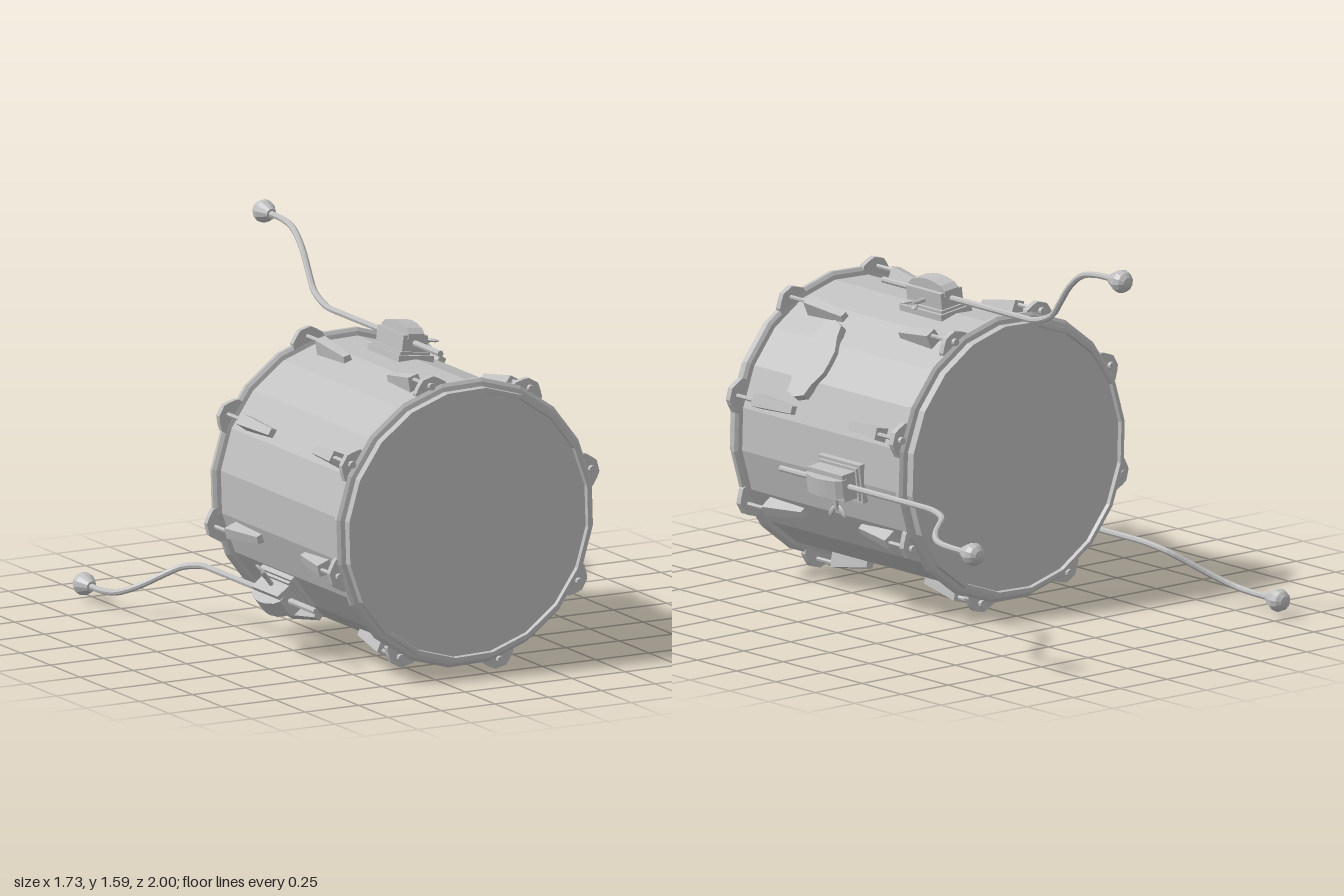
import * as THREE from 'three';

const metal = new THREE.MeshStandardMaterial({ color: 0xc0c0c0, flatShading: true });
metal.name = 'grey';

const MID = 0.4175; // middle of the drum along z
const SIDES = 20;

function add(parent, geometry, name) {
  const mesh = new THREE.Mesh(geometry, metal);
  mesh.name = name;
  parent.add(mesh);
  return mesh;
}

// Group whose x axis points outward from the drum at the given angle
function radialGroup(parent, degrees, name) {
  const group = new THREE.Group();
  group.rotation.z = THREE.MathUtils.degToRad(degrees);
  group.name = name;
  parent.add(group);
  return group;
}

function box(x0, x1, width, z0, z1) {
  return new THREE.BoxGeometry(x1 - x0, width, z1 - z0).translate((x0 + x1) / 2, 0, (z0 + z1) / 2);
}

// Turned part around the z axis; points are [radius, z]
function turned(points, sides) {
  return new THREE.LatheGeometry(points.map(p => new THREE.Vector2(...p)), sides).rotateX(Math.PI / 2);
}

function shapeOf(points) {
  return new THREE.Shape(points.map(p => new THREE.Vector2(...p)));
}

// Tapered lug casing: wide and tall near the hoop, slim toward the middle
function lugGeometry() {
  const geo = new THREE.BoxGeometry(1, 1, 1);
  const pos = geo.attributes.position;
  for (let i = 0; i < pos.count; i++) {
    const end = pos.getZ(i) > 0, outer = pos.getX(i) > 0;
    const width = (end ? 0.065 : 0.042) * (outer ? 0.75 : 1);
    pos.setXYZ(i, outer ? (end ? 0.63 : 0.595) : 0.55, pos.getY(i) * width, end ? 0.81 : 0.6);
  }
  return geo;
}

// Hoop, head, lugs and tension rods of one end
function drumEnd(name) {
  const end = new THREE.Group();
  end.name = name;
  add(end, turned([
    [0.56, 0.915], [0.592, 0.922], [0.606, 0.932], [0.606, 0.948], [0.592, 0.958],
    [0.573, 0.962], [0.573, 0.998], [0.556, 0.998], [0.55, 0.96], [0.55, 0.915], [0.56, 0.915],
  ], SIDES), 'hoop');
  add(end, new THREE.CircleGeometry(0.56, SIDES).translate(0, 0, 0.98), 'drumHead');

  const claw = new THREE.ExtrudeGeometry(shapeOf([
    [0.57, -0.075], [0.605, -0.072], [0.632, -0.045], [0.648, -0.025],
    [0.648, 0.025], [0.632, 0.045], [0.605, 0.072], [0.57, 0.075],
  ]), { depth: 0.026, bevelEnabled: false }).translate(0, 0, 0.922);
  const rod = new THREE.CylinderGeometry(0.009, 0.009, 0.15, 6).rotateX(Math.PI / 2).translate(0.613, 0, 0.875);
  const bolt = new THREE.CylinderGeometry(0.015, 0.015, 0.02, 8).rotateX(Math.PI / 2).translate(0.613, 0, 0.955);
  for (let i = 0; i < 8; i++) {
    const lug = radialGroup(end, 22.5 + i * 45, 'lugAssembly');
    add(lug, lugGeometry(), 'lug');
    add(lug, claw, 'claw');
    add(lug, rod, 'tensionRod');
    add(lug, bolt, 'tensionBolt');
  }
  return end;
}

// Clamp with wing bolt, bent leg and rubber foot
function legAssembly(parent, degrees) {
  const leg = radialGroup(parent, degrees, 'legAssembly');
  add(leg, box(0.55, 0.588, 0.165, 0.145, 0.41), 'mountPlate');
  add(leg, box(0.58, 0.6, 0.14, 0.155, 0.395), 'mountStep');
  add(leg, box(0.59, 0.668, 0.115, 0.165, 0.385), 'clampBlock');

  // Rounded cap over the clamp
  const cap = shapeOf([
    [0.65, 0.16], [0.675, 0.16], [0.695, 0.185], [0.707, 0.235], [0.711, 0.275],
    [0.707, 0.315], [0.695, 0.365], [0.675, 0.39], [0.65, 0.39],
  ]);
  add(leg, new THREE.ExtrudeGeometry(cap, { depth: 0.075, bevelEnabled: false })
    .rotateX(Math.PI / 2).translate(0, 0.0375, 0), 'clampCap');

  add(leg, new THREE.CylinderGeometry(0.01, 0.01, 0.07, 8).translate(0.625, -0.085, 0.275), 'wingBolt');
  for (const side of [-1, 1]) {
    const wing = add(leg, new THREE.SphereGeometry(1, 8, 6).scale(0.008, 0.032, 0.014), 'wing');
    wing.position.set(0.625 + side * 0.008, -0.128, 0.275 + side * 0.022);
    wing.rotation.x = -side * 0.7;
  }

  // Leg path as [radius, z]
  const bend = new THREE.CatmullRomCurve3([
    [0.635, -0.3], [0.638, -0.36], [0.68, -0.475], [0.75, -0.54], [0.83, -0.61],
    [0.895, -0.7], [0.915, -0.79], [0.918, -0.92],
  ].map(([r, z]) => new THREE.Vector3(r, 0, z)));
  add(leg, new THREE.TubeGeometry(bend, 24, 0.0135, 8), 'legBend');
  add(leg, new THREE.CylinderGeometry(0.0135, 0.0135, 0.9, 8)
    .rotateX(Math.PI / 2).translate(0.635, 0, 0.15), 'legRod');
  add(leg, turned([
    [0, -1], [0.022, -0.995], [0.04, -0.98], [0.049, -0.958], [0.046, -0.94], [0.022, -0.89], [0, -0.89],
  ], 12).translate(0.918, 0, 0), 'foot');
}

export function createModel() {
  const model = new THREE.Group();
  model.name = 'floorDrum';
  const drum = new THREE.Group();
  drum.name = 'drum';
  drum.position.set(-0.085, 0.618, 0);
  drum.rotation.z = THREE.MathUtils.degToRad(-7.3);
  model.add(drum);

  // Shell
  add(drum, turned([[0.574, -0.1], [0.574, 0.935]], SIDES), 'shell');

  // Two matching ends, the back one turned around the middle
  drum.add(drumEnd('frontEnd'));
  const back = drumEnd('backEnd');
  back.rotation.y = Math.PI;
  back.position.z = 2 * MID;
  drum.add(back);

  for (const angle of [0, 90, 225]) legAssembly(drum, angle);

  // Lobed plate on the shell
  const plate = new THREE.Shape();
  const outline = [
    [0.052, 0.165], [0.062, 0.115], [0.094, 0.05], [0.096, 0], [0.094, -0.05], [0.062, -0.115], [0.052, -0.165],
  ];
  const loop = [[0, 0.182], ...outline, [0, -0.182], ...outline.map(([x, y]) => [-x, y]).reverse()];
  plate.setFromPoints(loop.map(p => new THREE.Vector2(...p)));
  const badge = radialGroup(drum, 45, 'shellPlate');
  add(badge, new THREE.ExtrudeGeometry(plate, { depth: 0.035, bevelEnabled: false })
    .rotateY(Math.PI / 2).translate(0.555, 0, 0.582), 'plate');

  return model;
}
